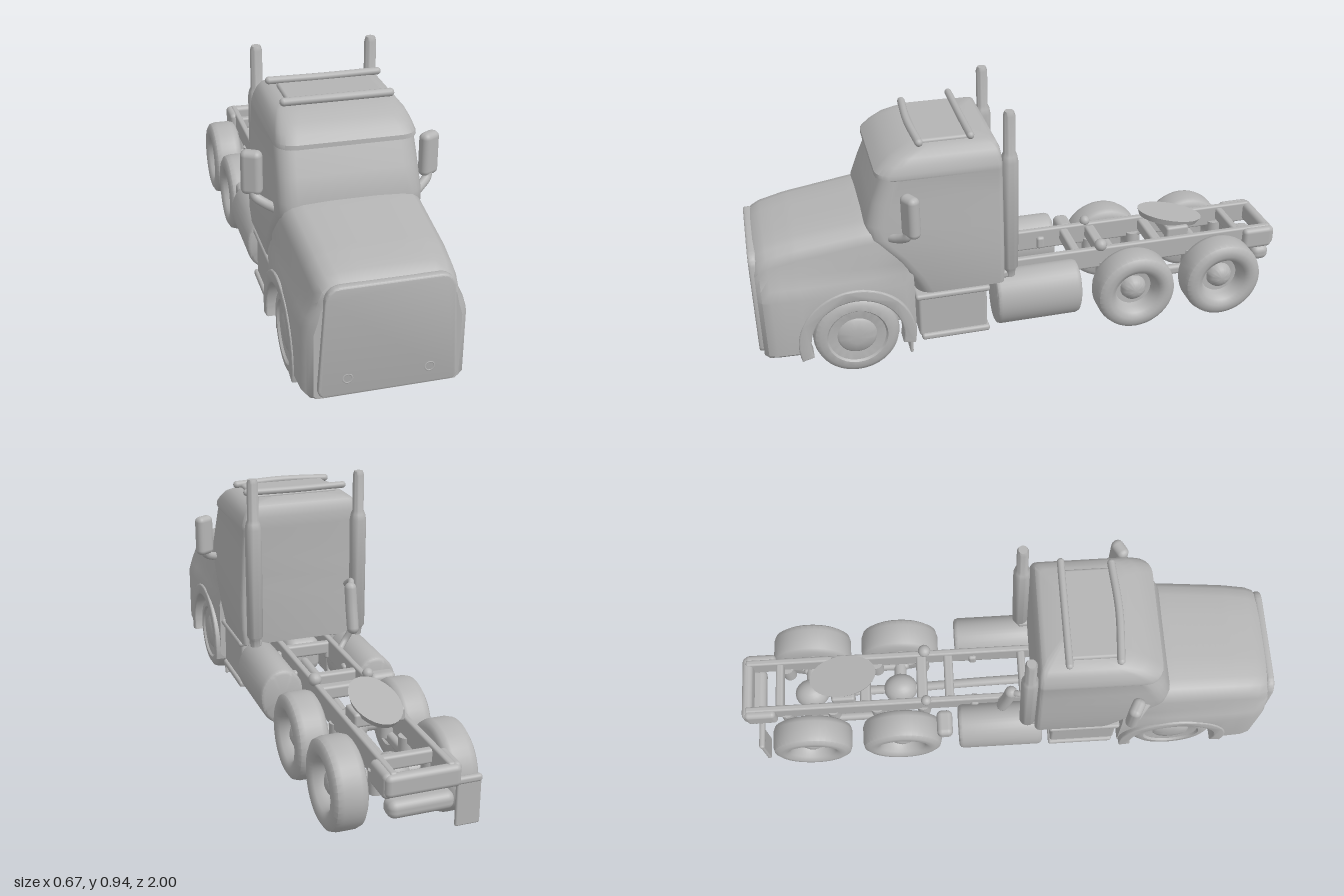
import * as THREE from 'three';
import { toCreasedNormals } from 'three/addons/utils/BufferGeometryUtils.js';
import { RoundedBoxGeometry } from 'three/addons/geometries/RoundedBoxGeometry.js';

const grey = new THREE.MeshStandardMaterial({ color: 0xb4b4b4 });
grey.name = 'plain grey';
const V = (x, y, z) => new THREE.Vector3(x, y, z);

export function createModel() {
  const truck = new THREE.Group();
  truck.name = 'truck';

  const add = (name, geo, x = 0, y = 0, z = 0) => {
    const m = new THREE.Mesh(geo, grey);
    m.name = name;
    m.position.set(x, y, z);
    truck.add(m);
    return m;
  };
  const box = (name, w, h, d, x, y, z, r = 0.01) =>
    add(name, new RoundedBoxGeometry(w, h, d, 3, Math.min(r, w / 2.1, h / 2.1, d / 2.1)), x, y, z);
  const tube = (name, pts, r) => {
    const curve = new THREE.CatmullRomCurve3(pts);
    add(name, new THREE.TubeGeometry(curve, 20, r, 12));
    for (const p of [pts[0], pts[pts.length - 1]]) add(name + 'End', new THREE.SphereGeometry(r, 12, 8), p.x, p.y, p.z);
  };
  const lathe = (pts, seg = 40) =>
    toCreasedNormals(new THREE.LatheGeometry(pts.map(p => new THREE.Vector2(p[0], p[1])), seg), 0.75);

  // Closed skin through equal-length rings, ends capped around their centres
  const loft = (rings, crease = 0.6) => {
    const n = rings[0].length, pos = [], idx = [];
    rings.forEach(r => r.forEach(p => pos.push(p.x, p.y, p.z)));
    for (let i = 0; i < rings.length - 1; i++) for (let j = 0; j < n; j++) {
      const a = i * n + j, b = i * n + (j + 1) % n;
      idx.push(a, b, b + n, a, b + n, a + n);
    }
    [0, rings.length - 1].forEach((i, end) => {
      const c = rings[i].reduce((s, p) => s.add(p), V(0, 0, 0)).divideScalar(n);
      const k = pos.push(c.x, c.y, c.z) / 3 - 1;
      for (let j = 0; j < n; j++) {
        const a = i * n + j, b = i * n + (j + 1) % n;
        if (end) idx.push(a, b, k); else idx.push(b, a, k);
      }
    });
    // turn the faces outward if the rings ran the other way
    let vol = 0;
    const P = i => V(pos[i * 3], pos[i * 3 + 1], pos[i * 3 + 2]);
    for (let i = 0; i < idx.length; i += 3) vol += P(idx[i]).dot(P(idx[i + 1]).cross(P(idx[i + 2])));
    if (vol < 0) idx.reverse();
    const g = new THREE.BufferGeometry();
    g.setAttribute('position', new THREE.Float32BufferAttribute(pos, 3));
    g.setIndex(idx);
    return toCreasedNormals(g, crease);
  };

  // Hood and front fenders, with wheel wells cut into the sections
  const WZ = 0.66, WY = 0.155, R = 0.178;
  const lerpTable = (t, z) => {
    let i = 0;
    while (i < t.length - 2 && z < t[i + 1][0]) i++;
    const f = THREE.MathUtils.clamp((z - t[i][0]) / (t[i + 1][0] - t[i][0]), 0, 1);
    return t[i].map((v, k) => v + (t[i + 1][k] - v) * f);
  };
  // z, top height, shoulder half width, fender half width
  const hood = [[0.985, 0.497, 0.205, 0.232], [0.97, 0.512, 0.216, 0.25], [0.94, 0.526, 0.222, 0.26],
    [0.85, 0.546, 0.228, 0.265], [0.6, 0.58, 0.236, 0.265], [0.45, 0.585, 0.236, 0.25]];
  const zs = [0.985, 0.97, 0.94, 0.9, 0.86, WZ + R + 0.001];
  for (let i = 0; i <= 20; i++) zs.push(WZ + R * Math.cos(i / 20 * Math.PI));
  zs.push(WZ - R - 0.001, 0.45);
  add('hood', loft(zs.map(z => {
    const [, top, ws, wf] = lerpTable(hood, z);
    const dz = z - WZ, base = 0.12;
    const arch = Math.abs(dz) <= R + 1e-6 ? WY + Math.sqrt(Math.max(0, R * R - dz * dz)) : base;
    const half = [[0.12, base], [0.12, arch], [wf - 0.012, arch], [wf, arch + 0.012], [wf, Math.max(0.35, arch + 0.02)],
      [wf - 0.012, 0.39], [ws + 0.006, 0.43], [ws, top - 0.06], [ws - 0.012, top - 0.028], [ws - 0.035, top - 0.008],
      [ws - 0.07, top], [0.08, top + 0.004]];
    return [...half.map(p => V(p[0], p[1], z)), ...half.reverse().map(p => V(-p[0], p[1], z))];
  })));

  // Raised front panel with two small lamps
  const panel = new THREE.Shape();
  panel.moveTo(-0.195, 0.135).lineTo(0.195, 0.135).quadraticCurveTo(0.215, 0.135, 0.216, 0.16);
  panel.lineTo(0.197, 0.46).quadraticCurveTo(0.19, 0.502, 0.15, 0.503);
  panel.lineTo(-0.15, 0.503).quadraticCurveTo(-0.19, 0.502, -0.197, 0.46);
  panel.lineTo(-0.216, 0.16).quadraticCurveTo(-0.215, 0.135, -0.195, 0.135);
  add('frontPanel', toCreasedNormals(new THREE.ExtrudeGeometry(panel, { depth: 0.012, bevelSize: 0.006, bevelThickness: 0.008, bevelSegments: 3 }), 0.6), 0, 0, 0.98);
  for (const s of [-1, 1]) add('fogLamp', new THREE.TorusGeometry(0.015, 0.004, 8, 20), s * 0.13, 0.19, 0.997);
  box('bumperLip', 0.49, 0.03, 0.13, 0, 0.128, 0.91, 0.014);

  // Cab: height, front z, half width, inset of the back
  const cab = [[0.295, 0.44, 0.243, 0], [0.36, 0.47, 0.25, 0], [0.45, 0.53, 0.25, 0], [0.53, 0.6, 0.246, 0],
    [0.58, 0.602, 0.243, 0], [0.66, 0.572, 0.239, 0], [0.745, 0.535, 0.235, 0], [0.75, 0.556, 0.236, 0],
    [0.765, 0.555, 0.234, 0], [0.79, 0.53, 0.227, 0.002], [0.815, 0.495, 0.216, 0.006], [0.833, 0.45, 0.2, 0.014], [0.843, 0.41, 0.175, 0.03]];
  add('cab', loft(cab.map(([y, zf, w, inset]) => {
    const zb = 0.122 + inset, ring = [];
    const corner = (sx, z, r, a0) => {
      for (let i = 0; i <= 5; i++) {
        const a = a0 + i / 5 * Math.PI / 2;
        ring.push(V(sx * (w - r) + r * Math.cos(a), y, z + r * Math.sin(a)));
      }
    };
    corner(1, zf - 0.06, 0.06, 0);
    corner(-1, zf - 0.06, 0.06, Math.PI / 2);
    corner(-1, zb + 0.02, 0.02, Math.PI);
    corner(1, zb + 0.02, 0.02, Math.PI * 1.5);
    return ring;
  })));

  // Roof rack
  tube('rackFrontBar', [V(-0.18, 0.853, 0.4), V(0, 0.857, 0.41), V(0.18, 0.853, 0.4)], 0.014);
  tube('rackRearBar', [V(-0.19, 0.864, 0.225), V(0, 0.862, 0.225), V(0.19, 0.864, 0.225)], 0.013);
  box('rackPanel', 0.33, 0.025, 0.18, 0, 0.842, 0.31);

  // Wheels: radius against distance from the inner side
  const tyre = [[0, 0.03], [0.07, 0.025], [0.085, 0], [0.13, 0.002], [0.147, 0.012], [0.153, 0.03], [0.153, 0.088], [0.147, 0.108], [0.13, 0.118]];
  const rearWheel = lathe([...tyre, [0.108, 0.12], [0.088, 0.108], [0.076, 0.08], [0.07, 0.062], [0.05, 0.06],
    [0.046, 0.075], [0.035, 0.088], [0.018, 0.096], [0, 0.098]]);
  const frontWheel = lathe([...tyre, [0.108, 0.119], [0.102, 0.111], [0.07, 0.106], [0.062, 0.113], [0.03, 0.119], [0, 0.12]]);

  // Stadium-ended fuel tank, flattened sideways
  const tankGeo = lathe([[0, -0.16], [0.09, -0.16], [0.101, -0.155], [0.106, -0.143], [0.106, 0.143], [0.101, 0.155], [0.09, 0.16], [0, 0.16]]);
  tankGeo.rotateX(Math.PI / 2).scale(0.78, 1, 1);

  // Fender lip as part of a ring
  const lip = new THREE.Shape();
  lip.absarc(0, 0, 0.202, -0.2, Math.PI + 0.25, false);
  lip.absarc(0, 0, 0.168, Math.PI + 0.25, -0.2, true);
  const lipGeo = toCreasedNormals(new THREE.ExtrudeGeometry(lip, { depth: 0.06, bevelSize: 0.005, bevelThickness: 0.006, bevelSegments: 3, curveSegments: 30 }), 0.6);
  lipGeo.translate(0, 0, -0.03).rotateY(Math.PI / 2);

  const stack = lathe([[0, 0.3], [0.018, 0.3], [0.02, 0.325], [0.03, 0.34], [0.031, 0.76], [0.027, 0.782], [0.021, 0.795],
    [0.021, 0.93], [0.016, 0.945], [0, 0.945]], 20);

  for (const s of [-1, 1]) {
    for (const [z, geo, name] of [[WZ, frontWheel, 'frontWheel'], [-0.39, rearWheel, 'middleWheel'], [-0.74, rearWheel, 'rearWheel']])
      add(name, geo, s * 0.127, WY, z).rotation.z = -s * Math.PI / 2;
    add('fenderLip', lipGeo, s * 0.234, WY, WZ);
    add('fuelTank', tankGeo, s * 0.18, 0.196, -0.008);
    for (const z of [-0.1, 0.09]) box('tankBracket', 0.06, 0.05, 0.03, s * 0.1, 0.24, z);
    add('exhaustStack', stack, s * 0.205, 0, 0.095);
    box('stackMount', 0.04, 0.03, 0.05, s * 0.2, 0.31, 0.11);

    // Cab steps and front mud flap
    box('stepBox', 0.12, 0.17, 0.25, s * 0.175, 0.195, 0.312);
    box('upperStep', 0.13, 0.022, 0.27, s * 0.182, 0.278, 0.312);
    box('lowerStep', 0.13, 0.024, 0.25, s * 0.182, 0.108, 0.305);
    box('frontMudFlap', 0.1, 0.09, 0.012, s * 0.18, 0.085, 0.468);

    // Door mirrors
    box('mirrorHead', 0.072, 0.155, 0.045, s * 0.302, 0.645, 0.458, 0.02).rotation.y = s * 0.5;
    tube('mirrorArm', [V(s * 0.235, 0.535, 0.52), V(s * 0.265, 0.545, 0.495), V(s * 0.295, 0.565, 0.472), V(s * 0.3, 0.6, 0.46)], 0.016);

    // Chassis rails and suspension
    box('frameRail', 0.024, 0.085, 1.84, s * 0.095, 0.252, -0.06, 0.008);
    box('rearFrameEnd', 0.035, 0.085, 0.12, s * 0.112, 0.25, -0.925, 0.02);
    box('suspensionBeam', 0.03, 0.04, 0.42, s * 0.1, 0.15, -0.565, 0.015);
    for (const z of [-0.3, -0.48, -0.65, -0.83])
      add('airSpring', new THREE.CylinderGeometry(0.026, 0.026, 0.08, 16), s * 0.09, 0.19, z);
    box('frontLeafSpring', 0.03, 0.03, 0.36, s * 0.1, 0.12, 0.66, 0.012);
  }

  // Chassis cross members
  box('rearCrossBeam', 0.25, 0.075, 0.04, 0, 0.252, -0.975, 0.018);
  box('rearBumper', 0.22, 0.06, 0.07, 0, 0.165, -0.955, 0.025);
  for (const [z, d] of [[0.09, 0.03], [-0.195, 0.035], [-0.3, 0.04], [-0.52, 0.04], [-0.85, 0.03]])
    box('crossMember', 0.19, 0.05, d, 0, 0.26, z);

  // Axles, differentials and drive shaft
  for (const z of [WZ, -0.39, -0.74]) {
    add('axle', new THREE.CylinderGeometry(0.024, 0.024, 0.3, 16), 0, WY, z).rotation.z = Math.PI / 2;
    if (z < 0) add('differential', new THREE.SphereGeometry(0.058, 20, 14), 0, 0.165, z).scale.set(1, 1, 1.15);
  }
  tube('driveShaft', [V(0, 0.2, 0.3), V(0, 0.19, -0.05), V(0, 0.165, -0.39), V(0, 0.165, -0.74)], 0.018);
  box('gearbox', 0.14, 0.14, 0.36, 0, 0.215, 0.3, 0.04);
  box('engineSump', 0.13, 0.08, 0.3, 0, 0.13, 0.72, 0.03);

  // Coupling plate, tilted down to the rear
  const plate = add('couplingPlate', new THREE.CylinderGeometry(0.082, 0.074, 0.024, 32), 0, 0.338, -0.595);
  plate.scale.z = 1.62;
  plate.rotation.x = -0.22;
  box('couplingMount', 0.18, 0.05, 0.09, 0, 0.305, -0.6);

  // Air hose behind the cab and small fittings
  tube('airHose', [V(-0.155, 0.51, 0.035), V(-0.155, 0.45, 0.025), V(-0.155, 0.36, 0.005)], 0.023);
  tube('hoseLink', [V(-0.155, 0.36, 0.01), V(-0.13, 0.31, 0.02), V(-0.1, 0.28, 0.0)], 0.012);
  tube('hoseTop', [V(-0.155, 0.51, 0.035), V(-0.17, 0.525, 0.07), V(-0.17, 0.5, 0.12)], 0.012);
  add('railFitting', new THREE.SphereGeometry(0.024, 14, 10), 0.1, 0.305, -0.285);
  add('railFitting', new THREE.SphereGeometry(0.02, 14, 10), -0.1, 0.3, -0.285);
  box('sideValveBox', 0.1, 0.06, 0.06, -0.18, 0.24, -0.22, 0.02);

  // Single rear mud flap
  box('mudFlapArm', 0.12, 0.025, 0.022, -0.165, 0.2, -0.93);
  box('rearMudFlap', 0.085, 0.16, 0.014, -0.18, 0.12, -0.93, 0.006);
  return truck;
}
